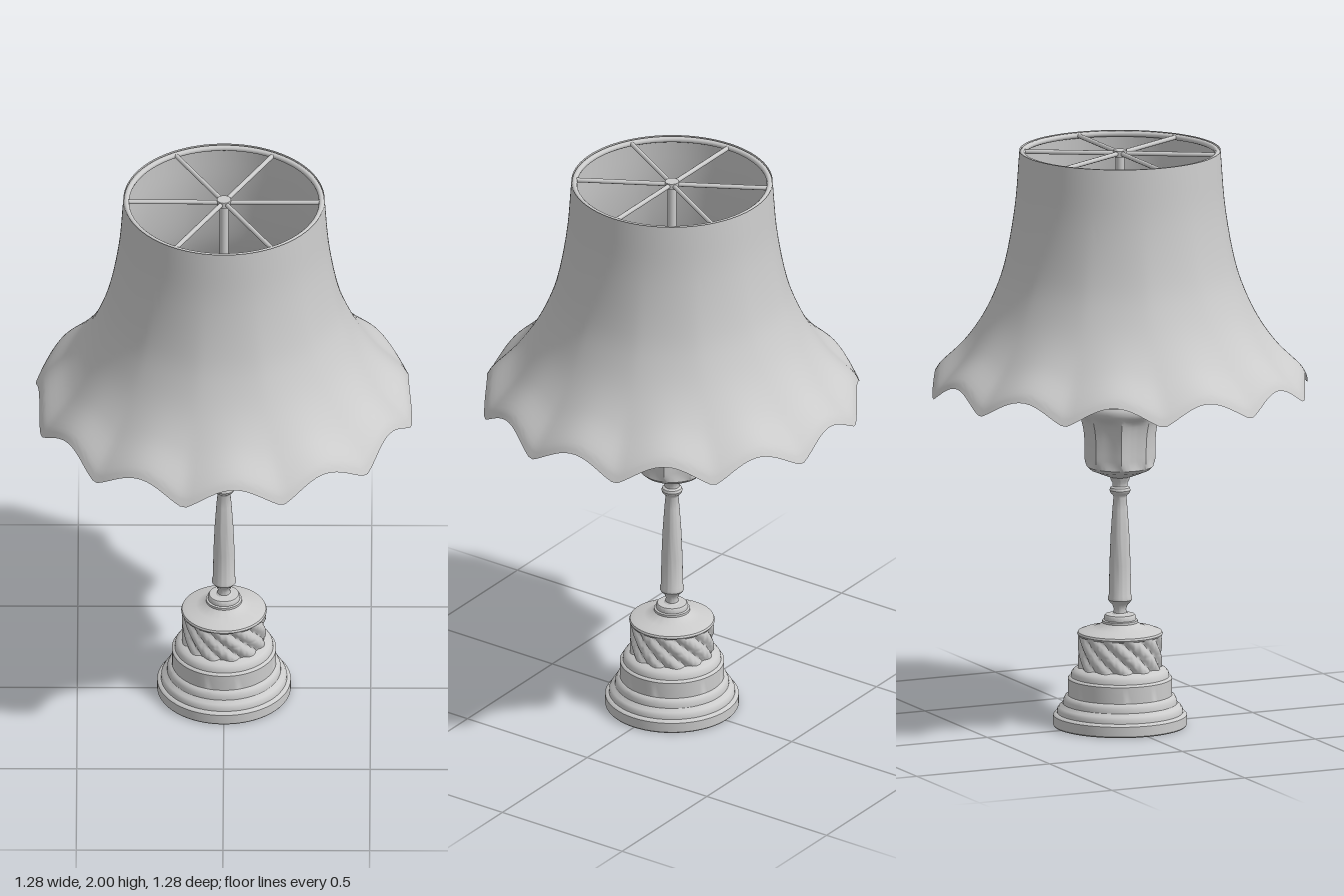
import * as THREE from 'three';
import { toCreasedNormals } from 'three/addons/utils/BufferGeometryUtils.js';

const grey = new THREE.MeshStandardMaterial({ color: 0xcccccc });
const greyDouble = new THREE.MeshStandardMaterial({ color: 0xcccccc, side: THREE.DoubleSide });

// Lathe from [radius, y] pairs; an optional rule (angle, r, y, v) => [r, y] reshapes it.
function turned(name, profile, { segments = 64, rule = null, crease = 0.6, material = grey } = {}) {
  const points = profile.map(([r, y]) => new THREE.Vector2(r, y));
  const geo = new THREE.LatheGeometry(points, segments);
  if (rule) {
    const pos = geo.attributes.position;
    const rows = points.length;
    for (let i = 0; i < pos.count; i++) {
      const a = (Math.floor(i / rows) / segments) * Math.PI * 2;
      const p = points[i % rows];
      const [r, y] = rule(a, p.x, p.y, (i % rows) / (rows - 1));
      pos.setXYZ(i, r * Math.sin(a), y, r * Math.cos(a));
    }
  }
  const mesh = new THREE.Mesh(toCreasedNormals(geo, crease), material);
  mesh.name = name;
  return mesh;
}

// Smooth a few [radius, y] points into many.
function smooth(points, count) {
  const curve = new THREE.CatmullRomCurve3(points.map(([r, y]) => new THREE.Vector3(r, y, 0)), false, 'centripetal');
  return curve.getPoints(count).map((p) => [p.x, p.y]);
}

export function createModel() {
  const lamp = new THREE.Group();
  lamp.name = 'tableLamp';

  // Hollow stepped foot: inside first, then under the rim and up the outside
  lamp.add(turned('foot', [
    [0, 0.19], [0.12, 0.19], [0.13, 0.16], [0.155, 0.155], [0.16, 0.11], [0.17, 0.1], [0.175, 0.06],
    [0.185, 0.05], [0.185, 0], [0.225, 0], [0.228, 0.004], [0.228, 0.038], [0.222, 0.044], [0.215, 0.046],
    [0.214, 0.058], [0.208, 0.068], [0.198, 0.073], [0.194, 0.078], [0.193, 0.092], [0.187, 0.103],
    [0.178, 0.108], [0.178, 0.165], [0.174, 0.17], [0.168, 0.172], [0.166, 0.185], [0.158, 0.195],
    [0.148, 0.2], [0.136, 0.205],
  ]));

  // Drum with spiral gadroons
  const drum = [];
  for (let i = 0; i <= 14; i++) drum.push([0.138, 0.2 + (0.12 * i) / 14]);
  lamp.add(turned('twistedDrum', drum, {
    segments: 120,
    crease: 0.9,
    rule: (a, r, y) => [r - 0.006 + 0.012 * Math.abs(Math.sin(6 * (a + 8 * y))), y],
  }));

  // Cap over the drum
  lamp.add(turned('drumCap', [
    [0.13, 0.31], [0.143, 0.314], [0.146, 0.32], [0.143, 0.327], [0.125, 0.334], [0.095, 0.34], [0.072, 0.349],
    [0.061, 0.358], [0.061, 0.366], [0.054, 0.368], [0.054, 0.38], [0.05, 0.386], [0.03, 0.388], [0, 0.388],
  ]));

  // Slender column with collar ring
  lamp.add(turned('column', [
    [0.03, 0.386], [0.022, 0.392], [0.021, 0.405], [0.026, 0.42], [0.036, 0.43], [0.041, 0.437], [0.041, 0.446],
    [0.038, 0.455], [0.036, 0.56], [0.032, 0.66], [0.026, 0.75], [0.022, 0.795], [0.026, 0.803], [0.033, 0.809],
    [0.036, 0.818], [0.033, 0.827], [0.025, 0.832], [0.025, 0.842], [0.032, 0.855], [0.036, 0.868], [0.05, 0.876],
  ], { segments: 40 }));

  // Urn with eight hollowed panels fading into a round shoulder
  const urn = [
    [0.04, 0.866], [0.07, 0.878], [0.1, 0.89], [0.114, 0.903], [0.12, 0.92],
    ...smooth([[0.121, 0.935], [0.121, 0.98], [0.125, 1.03], [0.136, 1.075], [0.144, 1.095]], 14),
    [0.147, 1.103], [0.147, 1.118], [0.142, 1.126], [0.115, 1.133],
  ];
  lamp.add(turned('urn', urn, {
    segments: 96,
    rule: (a, r, y) => {
      const fade = THREE.MathUtils.smoothstep(y, 0.9, 0.925) * (1 - THREE.MathUtils.smoothstep(y, 1.06, 1.095));
      return [r * (1 - 0.1 * fade * Math.abs(Math.cos(4 * a))), y];
    },
  }));

  // Stepped lid with finial
  lamp.add(turned('lid', [
    [0.125, 1.128], [0.116, 1.133], [0.114, 1.14], [0.105, 1.143], [0.1, 1.155], [0.088, 1.168], [0.075, 1.178],
    [0.06, 1.184], [0.056, 1.192], [0.04, 1.198], [0.03, 1.205], [0.028, 1.215], [0.022, 1.228], [0.017, 1.24],
  ], { segments: 48 }));

  // Stem up to the shade carrier
  const stem = new THREE.Mesh(new THREE.CylinderGeometry(0.015, 0.017, 0.76, 20), grey);
  stem.name = 'stem';
  stem.position.y = 1.61;
  lamp.add(stem);

  // Carrier: hub, six spokes and top ring
  const carrier = new THREE.Group();
  carrier.name = 'shadeCarrier';
  const hub = new THREE.Mesh(new THREE.CylinderGeometry(0.024, 0.024, 0.022, 20), grey);
  hub.name = 'hub';
  carrier.add(hub);
  for (let i = 0; i < 6; i++) {
    const arm = new THREE.Group();
    arm.name = 'spoke';
    const rod = new THREE.Mesh(new THREE.CylinderGeometry(0.008, 0.008, 0.33, 10), grey);
    rod.rotation.z = Math.PI / 2;
    rod.position.x = 0.165;
    arm.add(rod);
    arm.rotation.y = (i * Math.PI) / 3;
    carrier.add(arm);
  }
  const ring = new THREE.Mesh(new THREE.TorusGeometry(0.333, 0.01, 10, 72), grey);
  ring.name = 'topRing';
  ring.rotation.x = Math.PI / 2;
  carrier.add(ring);
  carrier.position.y = 1.989;
  lamp.add(carrier);

  // Flared shade: twelve soft folds deepen toward a scalloped hem
  const shade = smooth([
    [0.655, 1.162], [0.635, 1.2], [0.547, 1.3], [0.48, 1.4], [0.432, 1.5], [0.398, 1.6], [0.36, 1.8], [0.343, 2],
  ], 32);
  const foldStart = THREE.MathUtils.degToRad(18);
  lamp.add(turned('shade', shade, {
    segments: 192,
    crease: 1.2,
    material: greyDouble,
    rule: (a, r, y) => {
      const t = (2 - y) / 0.838;
      const fold = Math.pow(Math.abs(Math.sin(6 * (a - foldStart))), 1.25);
      return [r * (1 - 0.036 * t * t * fold), y + 0.066 * Math.pow(t, 4) * fold];
    },
  }));

  return lamp;
}
